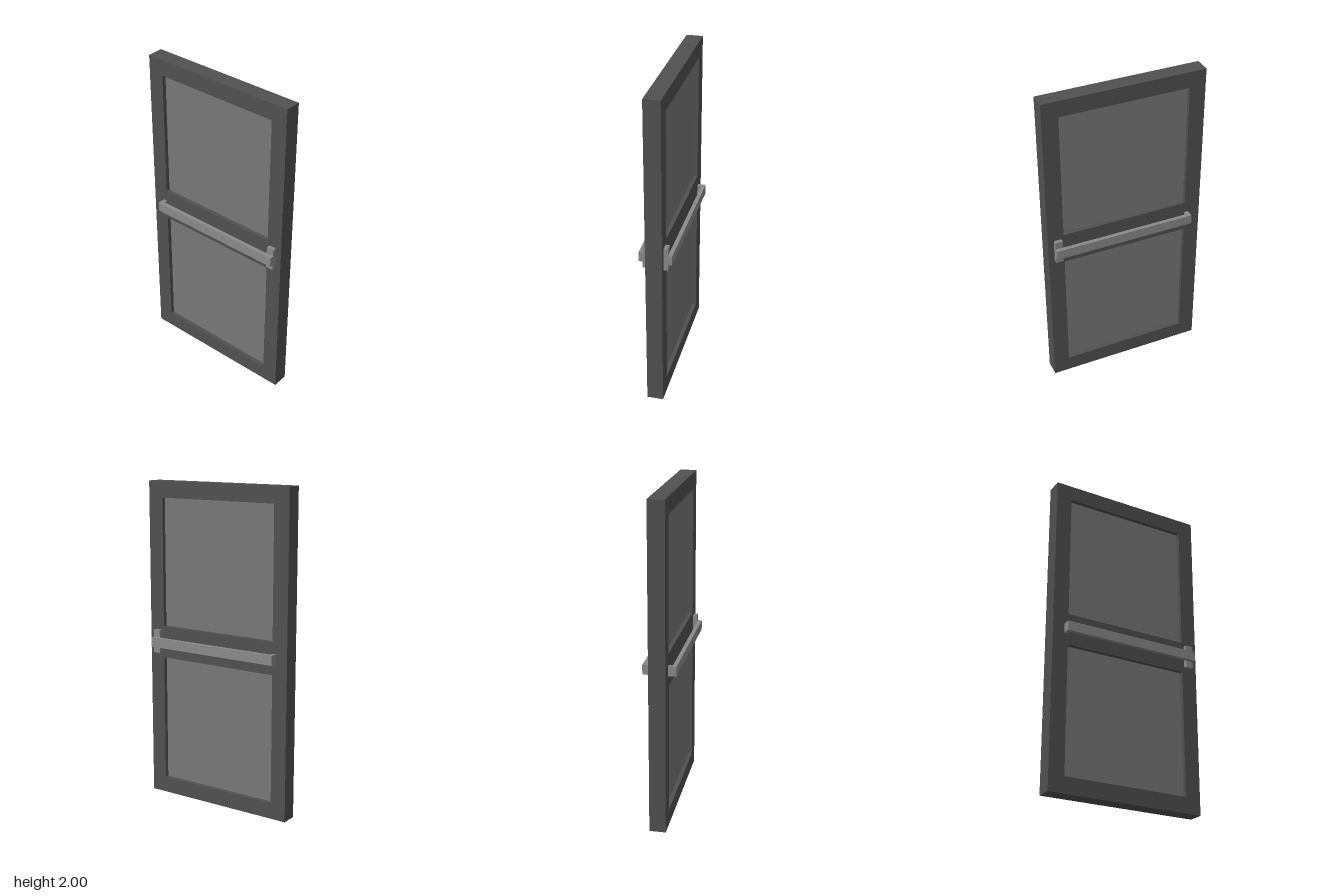
import * as THREE from 'three';

const paint = (color) => new THREE.MeshStandardMaterial({ color });
const frameMat = paint(0x505050);
const panelMat = paint(0x777777);
const barMat = paint(0x8a8a8a);

// Box given by its limits on each axis
function box(name, mat, [x0, x1], [y0, y1], [z0, z1]) {
  const mesh = new THREE.Mesh(new THREE.BoxGeometry(x1 - x0, y1 - y0, z1 - z0), mat);
  mesh.position.set((x0 + x1) / 2, (y0 + y1) / 2, (z0 + z1) / 2);
  mesh.name = name;
  return mesh;
}

function rectangle(target, x0, y0, x1, y1) {
  target.moveTo(x0, y0);
  target.lineTo(x1, y0);
  target.lineTo(x1, y1);
  target.lineTo(x0, y1);
  target.closePath();
  return target;
}

export function createModel() {
  const door = new THREE.Group();
  door.name = 'door';

  // Frame with two openings and a middle rail
  const openings = [['lowerPanel', 0.1, 0.9], ['upperPanel', 1.1, 1.9]];
  const outline = rectangle(new THREE.Shape(), -0.5, 0, 0.5, 2);
  for (const [, y0, y1] of openings) {
    outline.holes.push(rectangle(new THREE.Path(), -0.4, y0, 0.4, y1));
  }
  const frameGeo = new THREE.ExtrudeGeometry(outline, { depth: 0.1, bevelEnabled: false });
  frameGeo.translate(0, 0, -0.05);
  const frame = new THREE.Mesh(frameGeo, frameMat);
  frame.name = 'frame';
  door.add(frame);

  // Recessed panels
  for (const [name, y0, y1] of openings) {
    door.add(box(name, panelMat, [-0.4, 0.4], [y0, y1], [-0.025, 0.025]));
  }

  // Push bar on each face: bar, end post and latch plate
  for (const [side, s] of [['front', 1], ['back', -1]]) {
    const depth = (a, b) => (s > 0 ? [a, b] : [-b, -a]);
    const pushBar = new THREE.Group();
    pushBar.name = side + 'PushBar';
    pushBar.add(
      box('bar', barMat, [-0.425, 0.4625], [0.97, 1.03], depth(0.075, 0.1)),
      box('endPost', barMat, [-0.425, -0.4], [0.97, 1.03], depth(0.05, 0.075)),
      box('latchPlate', barMat, [0.415, 0.4625], [0.93, 1.075], depth(0.05, 0.075)),
    );
    door.add(pushBar);
  }
  return door;
}
